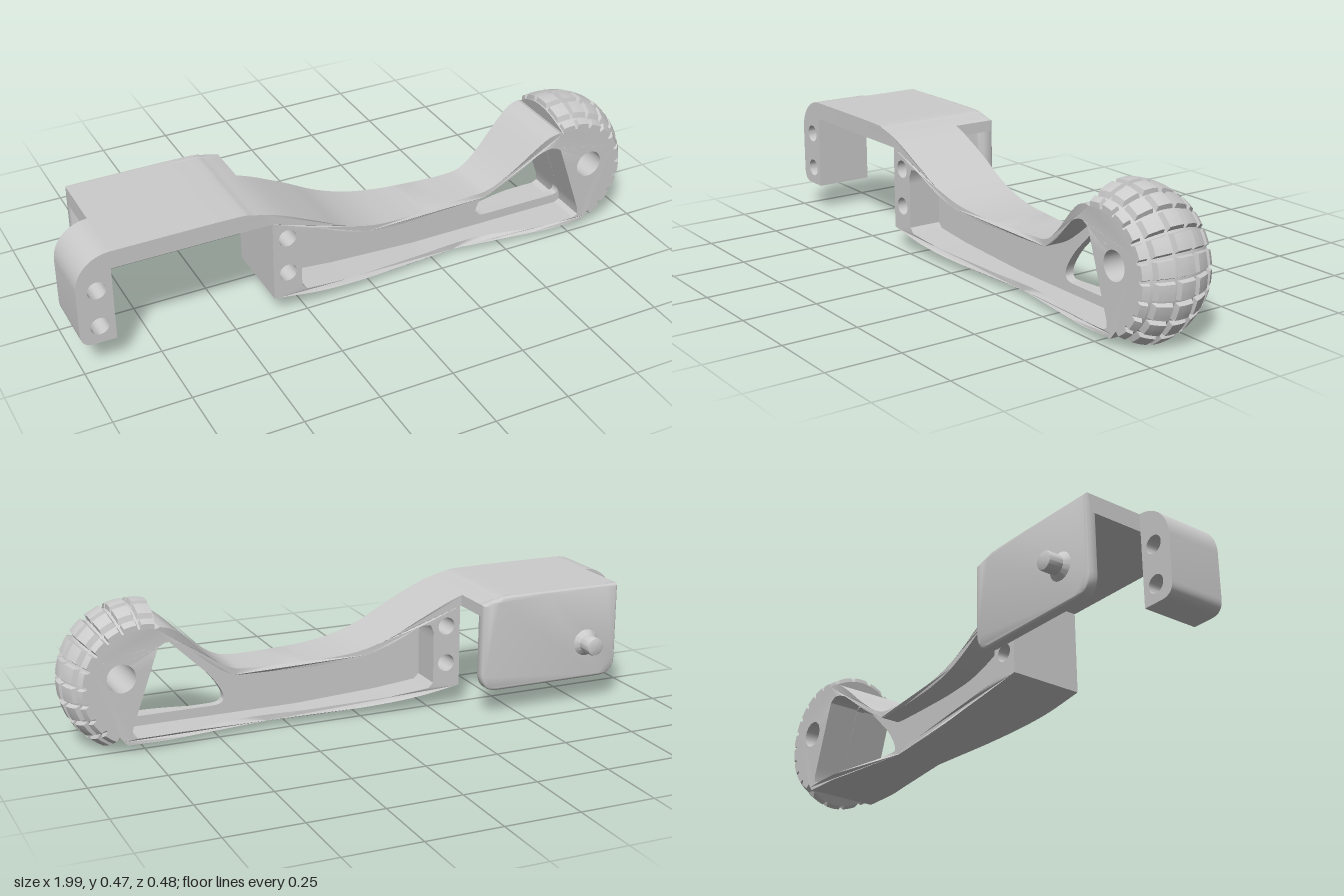
import * as THREE from 'three';
import { mergeGeometries, toCreasedNormals } from 'three/addons/utils/BufferGeometryUtils.js';

const V = (x, y) => new THREE.Vector2(x, y);
const MID = 0.11, HALF = 0.13;              // centre plane and half width of the arm
const WHEEL = V(0.745, 0.223), R = 0.25;    // tread centre and radius
const A0 = -62 * Math.PI / 180, A1 = 103 * Math.PI / 180;
const material = new THREE.MeshStandardMaterial({ color: 0xcccccc });

const spline = (pts, n) => new THREE.SplineCurve(pts.map(p => V(...p))).getPoints(n);

// Polygon with rounded corners; each corner is [x, y, radius]
function rounded(corners) {
  const out = [];
  corners.forEach(([x, y, r = 0], i) => {
    const p = V(x, y);
    if (!r) return out.push(p);
    const a = corners.at(i - 1), b = corners[(i + 1) % corners.length];
    const toward = q => p.clone().add(V(q[0] - x, q[1] - y).setLength(r));
    out.push(...new THREE.QuadraticBezierCurve(toward(a), p, toward(b)).getPoints(8));
  });
  return out;
}

// Split long edges so the surface can follow the waist of the arm
function dense(pts, step = 0.03) {
  const out = [];
  pts.forEach((p, i) => {
    const q = pts[(i + 1) % pts.length], n = Math.max(1, Math.ceil(p.distanceTo(q) / step));
    for (let k = 0; k < n; k++) out.push(p.clone().lerp(q, k / n));
  });
  return out;
}

function circle(x, y, r) {
  const path = new THREE.Path();
  path.absarc(x, y, r, 0, Math.PI * 2, true);
  return path;
}

function extrude(pts, holes, z0, z1, options = {}) {
  const shape = new THREE.Shape(pts);
  shape.holes = holes;
  const g = new THREE.ExtrudeGeometry(shape, { depth: z1 - z0, bevelEnabled: false, curveSegments: 12, ...options });
  return g.translate(0, 0, z0);
}

function mapVertices(g, rule) {
  const pos = g.attributes.position, v = new THREE.Vector3();
  for (let i = 0; i < pos.count; i++) {
    rule(v.fromBufferAttribute(pos, i));
    pos.setXYZ(i, v.x, v.y, v.z);
  }
  return g;
}

// Side width narrows to a waist near x = 0.38
function waist(v) {
  const s = THREE.MathUtils.smoothstep;
  const w = 1 - 0.37 * (s(v.x, -0.25, 0.4) - s(v.x, 0.38, 0.7));
  v.z = MID + v.z * w;
}

// Bends (radius, side, arc angle) around the wheel centre
function bend(v) {
  const [r, side, a] = [v.x, v.y, A1 - v.z];
  v.set(WHEEL.x + r * Math.cos(a), WHEEL.y + r * Math.sin(a), MID + side);
}
const crown = z => R - 2.96 * z * z;

export function createModel() {
  const model = new THREE.Group();
  const add = (name, g, crease = 0.5) => {
    const mesh = new THREE.Mesh(toCreasedNormals(g, crease), material);
    mesh.name = name;
    model.add(mesh);
  };

  // Arm outline: motor opening, belly, wheel arc, then the top line back
  const belly = spline([[-0.36, 0.075], [-0.2, 0.052], [0, 0.037], [0.2, 0.03], [0.5, 0.03], [0.81, 0.032]], 40);
  const top = spline([[-0.885, 0.415], [-0.5, 0.415], [-0.42, 0.406], [-0.33, 0.38], [-0.2, 0.32], [-0.1, 0.27],
    [0, 0.238], [0.1, 0.224], [0.2, 0.22], [0.38, 0.22], [0.45, 0.232], [0.52, 0.28], [0.6, 0.355], [0.65, 0.395], [0.69, 0.408]], 80);
  const arc = [];
  for (let i = 0; i <= 30; i++) {
    const a = A0 + (A1 - A0) * i / 30;
    arc.push(V(WHEEL.x + 0.185 * Math.cos(a), WHEEL.y + 0.185 * Math.sin(a)));
  }
  const outline = dense([V(-0.885, 0.355), V(-0.36, 0.355), ...belly, ...arc, ...[...top].reverse()]);

  // Recess on both sides, separated by a thin web
  const recessTop = spline([[-0.225, 0.303], [-0.2, 0.295], [-0.1, 0.248], [0, 0.216], [0.1, 0.204], [0.2, 0.2], [0.4, 0.2],
    [0.45, 0.211], [0.52, 0.258], [0.6, 0.325], [0.63, 0.345], [0.67, 0.355], [0.7, 0.34]], 60);
  const recess = dense([V(-0.25, 0.3), V(-0.262, 0.275), V(-0.262, 0.095), V(-0.245, 0.078), V(-0.1, 0.064), V(0.2, 0.05),
    V(0.775, 0.05), V(0.793, 0.06), V(0.79, 0.085), ...[...recessTop].reverse()]);
  const armHoles = [new THREE.Path(recess), circle(0.82, 0.255, 0.047), circle(-0.31, 0.29, 0.03), circle(-0.31, 0.16, 0.03)];
  add('arm', mapVertices(extrude(outline, armHoles, -HALF, HALF), waist));

  const window = rounded([[0.43, 0.083, 0.06], [0.79, 0.083, 0.03], [0.705, 0.345, 0.03], [0.655, 0.345, 0.03], [0.48, 0.175, 0.05]]);
  add('web', extrude(recess, [new THREE.Path(window)], MID - 0.015, MID + 0.015));

  // Front mounting leg
  const leg = [V(-0.885, 0.1), V(-0.885, 0.415)];
  for (let i = 1; i <= 12; i++) {
    const a = Math.PI / 2 * (1 + i / 12);
    leg.push(V(-0.885 + 0.115 * Math.cos(a), 0.3 + 0.115 * Math.sin(a)));
  }
  leg.push(...new THREE.QuadraticBezierCurve(V(-1, 0.145), V(-1, 0.1), V(-0.955, 0.1)).getPoints(8));
  add('mountingLeg', extrude(leg, [circle(-0.935, 0.29, 0.03), circle(-0.935, 0.16, 0.03)], 0.04, 0.24));

  // Motor bracket: roof running back and a hanging back plate
  const roofLine = top.filter(p => p.x < -0.365).reverse();
  add('bracketRoof', extrude([V(-0.885, 0.355), V(-0.365, 0.355), ...roofLine], [], -0.165, -0.02));
  const lower = rounded([[-0.885, 0.4], [-0.885, 0.092, 0.065], [-0.365, 0.092, 0.065], [-0.365, 0.38]]).slice(1, -1);
  add('backPlate', extrude([...lower, ...roofLine], [], -0.165, -0.145,
    { bevelEnabled: true, bevelThickness: 0.01, bevelSize: 0.01, bevelOffset: -0.01, bevelSegments: 4 }), 0.6);

  // Pivot pin
  const pin = new THREE.LatheGeometry([V(0.046, 0), V(0.031, 0.015), V(0.031, 0.058), V(0.029, 0.063), V(0.024, 0.065), V(0, 0.065)], 32);
  add('pivotPin', pin.rotateX(-Math.PI / 2).translate(-0.765, 0.22, -0.175));

  // Barrel-shaped tire core
  const section = [];
  for (let i = 0; i <= 20; i++) {
    const z = HALF * (i / 10 - 1);
    section.push(V(crown(z) - 0.015, z));
  }
  add('tireCore', mapVertices(extrude(section, [], 0, A1 - A0, { steps: 40 }), bend));

  // Tread blocks: rows around the arc, five columns across
  const columns = [[-0.13, -0.112], [-0.091, -0.045], [-0.025, 0.025], [0.045, 0.091], [0.112, 0.13]];
  const rows = 10, pitch = (A1 - A0) / rows, blocks = [];
  for (let row = 0; row < rows; row++) {
    for (const [z0, z1] of columns) {
      const block = new THREE.BoxGeometry(1, 1, 1, 1, 3, 3);
      blocks.push(mapVertices(block, v => {
        const base = v.x < 0, flare = base ? 0.007 : 0;
        const side = THREE.MathUtils.clamp((z0 + z1) / 2 + v.y * (z1 - z0 + 2 * flare), -HALF, HALF);
        const angle = (row + 0.5 + v.z * (base ? 0.92 : 0.72)) * pitch;
        v.set(crown(side) - (base ? 0.019 : 0), side, angle);
        bend(v);
      }));
    }
  }
  add('treadBlocks', mergeGeometries(blocks), 0.4);
  return model;
}
